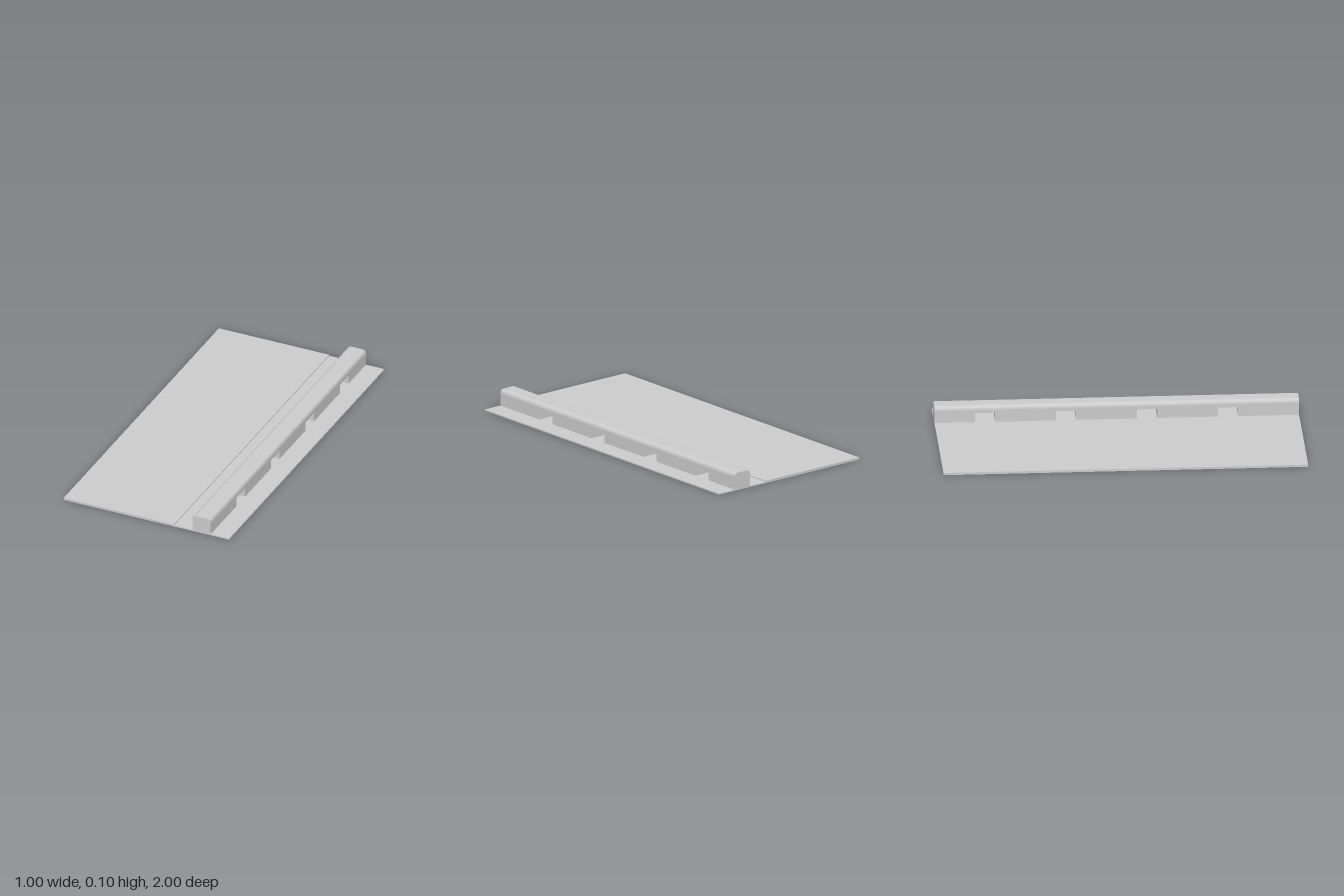
import * as THREE from 'three';
import { toCreasedNormals } from 'three/addons/utils/BufferGeometryUtils.js';

const LENGTH = 2, BASE_TOP = 0.007, PANEL_TOP = 0.013;
const RAIL_X0 = 0.278, RAIL_X1 = 0.389, RAIL_TOP = 0.1, ROUND = 0.022;
const SLOT_TOP = 0.06, SLOT_WIDTH = 0.111;
const SLOT_CENTRES = [0.611, 0.167, -0.278, -0.722];

export function createModel() {
  const model = new THREE.Group();
  const material = new THREE.MeshStandardMaterial({ color: 0xcccccc });

  const add = (name, geometry, parent = model) => {
    const mesh = new THREE.Mesh(geometry, material);
    mesh.name = name;
    parent.add(mesh);
  };
  const slab = (x0, x1, y0, y1) =>
    new THREE.BoxGeometry(x1 - x0, y1 - y0, LENGTH).translate((x0 + x1) / 2, (y0 + y1) / 2, 0);

  // Thin ground plate and the raised panel on its right part
  add('basePlate', slab(-0.5, 0.5, 0, BASE_TOP));
  add('raisedPanel', slab(-0.5, 0.167, BASE_TOP, PANEL_TOP));

  const rail = new THREE.Group();
  rail.name = 'rail';
  model.add(rail);

  // Rail body: side profile with slots cut into its underside
  const shoulder = RAIL_TOP - ROUND;
  const side = new THREE.Shape().moveTo(-LENGTH / 2, BASE_TOP);
  for (const z of SLOT_CENTRES) {
    const u0 = -z - SLOT_WIDTH / 2, u1 = -z + SLOT_WIDTH / 2;
    side.lineTo(u0, BASE_TOP).lineTo(u0, SLOT_TOP).lineTo(u1, SLOT_TOP).lineTo(u1, BASE_TOP);
  }
  side.lineTo(LENGTH / 2, BASE_TOP).lineTo(LENGTH / 2, shoulder).lineTo(-LENGTH / 2, shoulder);
  const body = new THREE.ExtrudeGeometry(side, { depth: RAIL_X1 - RAIL_X0, bevelEnabled: false });
  add('slottedRailBody', body.rotateY(Math.PI / 2).translate(RAIL_X0, 0, 0), rail);

  // Rail cap: front profile with rounded upper corners
  const cap = new THREE.Shape()
    .moveTo(RAIL_X0, shoulder)
    .lineTo(RAIL_X1, shoulder)
    .absarc(RAIL_X1 - ROUND, shoulder, ROUND, 0, Math.PI / 2, false)
    .absarc(RAIL_X0 + ROUND, shoulder, ROUND, Math.PI / 2, Math.PI, false);
  const capGeometry = new THREE.ExtrudeGeometry(cap, { depth: LENGTH, bevelEnabled: false, curveSegments: 8 });
  add('roundedRailCap', toCreasedNormals(capGeometry.translate(0, 0, -LENGTH / 2), 0.6), rail);

  return model;
}
